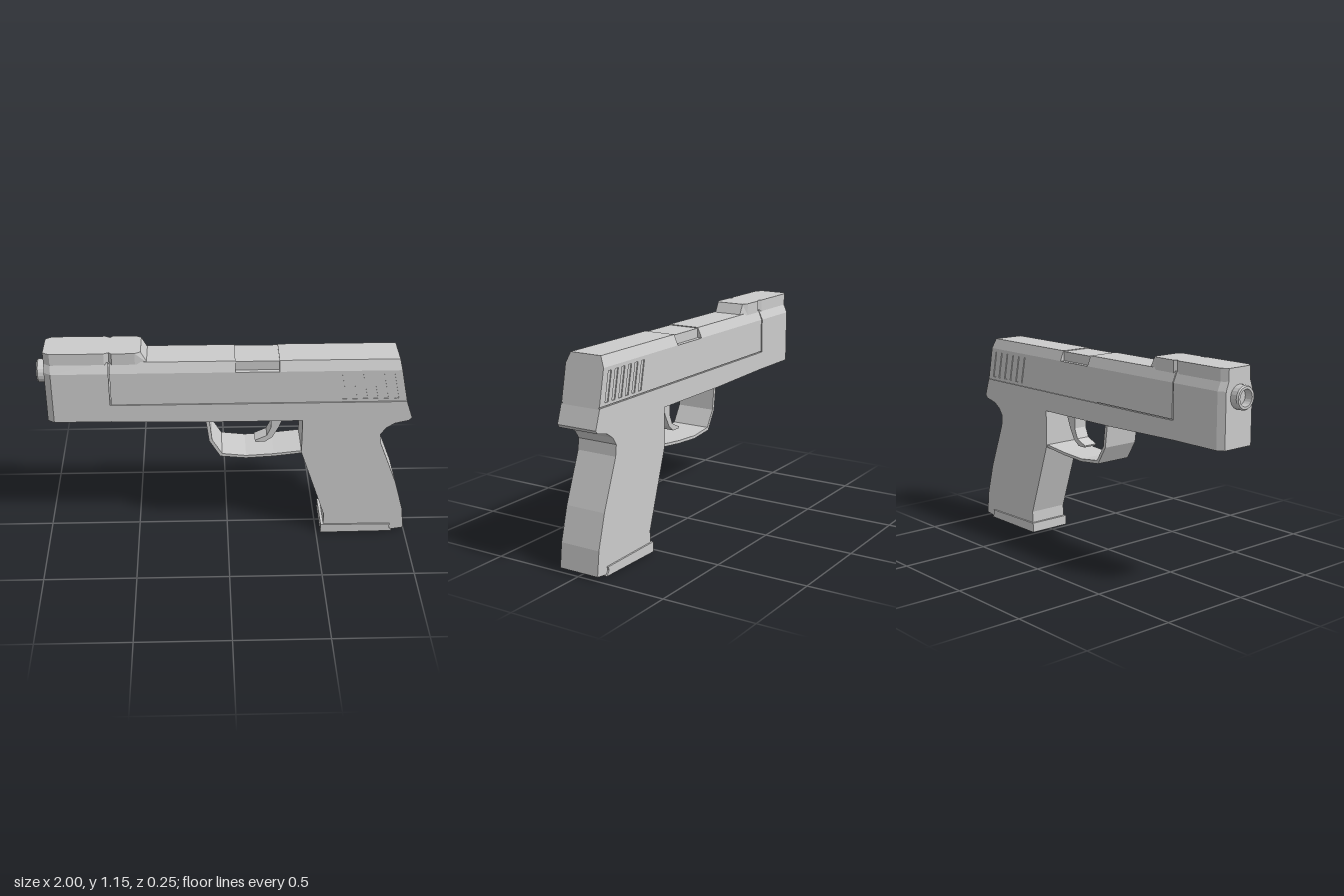
import * as THREE from 'three';

const material = new THREE.MeshStandardMaterial({ color: 0xcccccc, flatShading: true });

function addMesh(group, name, geometry) {
  const mesh = new THREE.Mesh(geometry, material);
  mesh.name = name;
  group.add(mesh);
  return mesh;
}

const toShape = pts => new THREE.Shape(pts.map(([x, y]) => new THREE.Vector2(x, y)));

// Side profile in x/y, extruded symmetrically about z = 0
function sideProfile(pts, halfWidth, holes = []) {
  const shape = toShape(pts);
  holes.forEach(h => shape.holes.push(toShape(h)));
  const g = new THREE.ExtrudeGeometry(shape, { depth: 2 * halfWidth, bevelEnabled: false });
  return g.translate(0, 0, -halfWidth);
}

// Moves every vertex by a rule
function reshape(geometry, rule) {
  const p = geometry.attributes.position;
  const v = new THREE.Vector3();
  for (let i = 0; i < p.count; i++) {
    rule(v.fromBufferAttribute(p, i));
    p.setXYZ(i, v.x, v.y, v.z);
  }
  geometry.computeVertexNormals();
  return geometry;
}

// Mirrored half section [z, y], run along x from x0 to end(y)
function longSection(half, x0, end, steps = 1) {
  const pts = [...half, ...half.map(([z, y]) => [-z, y]).reverse()];
  const g = new THREE.ExtrudeGeometry(toShape(pts), { depth: 1, steps, bevelEnabled: false });
  g.rotateY(Math.PI / 2);
  return reshape(g, v => { v.x = x0 + v.x * (end(v.y) - x0); });
}

export function createModel() {
  const model = new THREE.Group();
  model.name = 'pistol';
  const rearX = y => 0.90 + (1.10 - y) * 0.21;

  // Frame and grip in one silhouette
  addMesh(model, 'frameAndGrip', sideProfile([
    [-0.62, 0.755], [-0.12, 0.745], [0.40, 0.745], [0.40, 0.54], [0.54, 0.12], [0.54, 0.03],
    [0.93, 0.01], [0.995, 0.02], [0.98, 0.15], [0.93, 0.33], [0.83, 0.59], [0.823, 0.65],
    [0.85, 0.69], [0.895, 0.72], [0.97, 0.737], [0.985, 0.755], [0.951, 0.855], [-0.62, 0.855],
  ], 0.115));

  // Nose with bevelled front corners
  const nose = longSection([[0.115, 0.755], [0.115, 1.045], [0.09, 1.10]], -0.955, () => -0.62, 2);
  reshape(nose, v => {
    if (v.x < -0.95) v.z *= 0.8;
    else if (v.x < -0.65) v.x = -0.92;
  });
  addMesh(model, 'nose', nose);

  // Slide core with a notched port between two chamfered lengths
  const chamfered = [[0.108, 0.85], [0.108, 1.04], [0.113, 1.045], [0.09, 1.10]];
  const notched = [[0.108, 0.85], [0.108, 1.045], [0.088, 1.045], [0.088, 1.096]];
  addMesh(model, 'slideFront', longSection(chamfered, -0.614, () => 0.04));
  addMesh(model, 'ejectionPort', longSection(notched, 0.04, () => 0.27));
  addMesh(model, 'slideRear', longSection(chamfered, 0.27, rearX));

  // Slide side panels, cut by slanted grip slots
  const slots = [];
  for (let i = 0; i < 6; i++) {
    const x = 0.605 + i * 0.055;
    slots.push([[x, 0.875], [x + 0.025, 0.875], [x - 0.007, 1.025], [x - 0.032, 1.025]]);
  }
  addMesh(model, 'slidePanels', sideProfile([
    [-0.612, 0.86], [rearX(0.86), 0.86], [rearX(1.045), 1.045], [-0.612, 1.045],
  ], 0.113, slots));

  // Raised top block, notched at the sides and sloped at the rear
  const plan = [[-0.955, 0.075], [-0.92, 0.097], [-0.64, 0.097], [-0.615, 0.083], [-0.60, 0.097],
    [-0.48, 0.097], [-0.45, 0.08]];
  const block = new THREE.ExtrudeGeometry(
    toShape([...plan, ...plan.map(([x, z]) => [x, -z]).reverse()]),
    { depth: 0.065, bevelEnabled: false });
  block.rotateX(-Math.PI / 2).translate(0, 1.09, 0);
  reshape(block, v => { if (v.x > -0.46 && v.y < 1.12) v.x += 0.035; });
  addMesh(model, 'topBlock', block);

  // Hollow muzzle
  const muzzle = new THREE.LatheGeometry([
    [0.043, -0.02], [0.062, -0.02], [0.062, 0.037], [0.056, 0.045], [0.043, 0.045], [0.043, -0.005], [0, -0.005],
  ].map(([r, h]) => new THREE.Vector2(r, h)), 20);
  muzzle.rotateZ(Math.PI / 2).translate(-0.955, 1.01, 0);
  addMesh(model, 'muzzle', muzzle);

  // Trigger guard strap
  addMesh(model, 'triggerGuard', sideProfile([
    [-0.117, 0.75], [-0.10, 0.62], [-0.04, 0.52], [0.10, 0.506], [0.25, 0.515], [0.42, 0.535],
    [0.42, 0.55], [0.25, 0.531], [0.10, 0.522], [-0.03, 0.537], [-0.083, 0.625], [-0.098, 0.75],
  ], 0.108));

  // Trigger
  addMesh(model, 'trigger', sideProfile([
    [0.235, 0.75], [0.238, 0.66], [0.215, 0.605], [0.15, 0.575], [0.155, 0.565], [0.205, 0.565],
    [0.245, 0.595], [0.28, 0.66], [0.315, 0.75],
  ], 0.04));

  // Magazine base plate
  addMesh(model, 'magazineBase', sideProfile([
    [0.525, 0], [0.93, 0.004], [0.912, 0.03], [0.918, 0.05], [0.525, 0.055],
  ], 0.124));

  return model;
}
